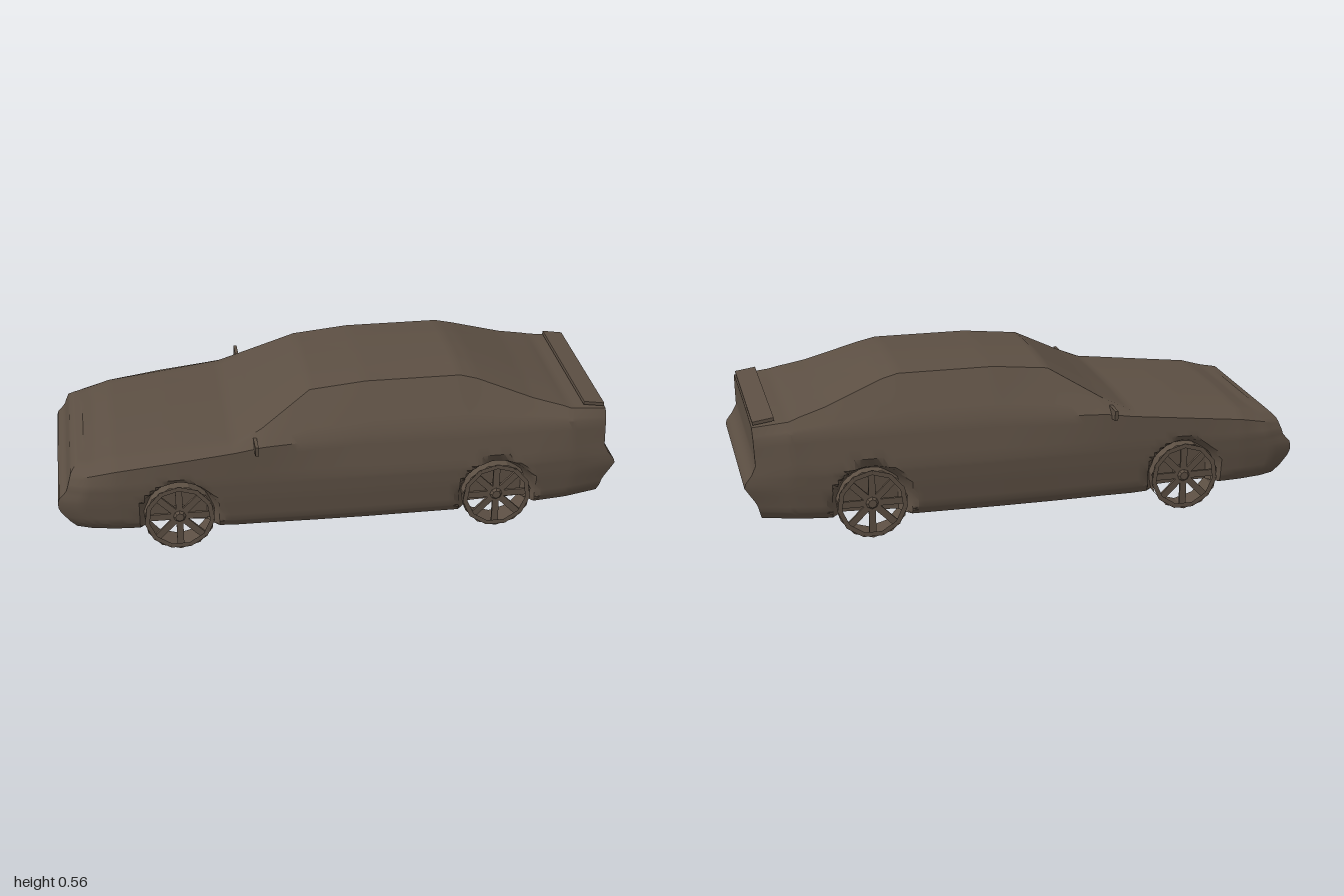
import * as THREE from 'three';
import { toCreasedNormals } from 'three/addons/utils/BufferGeometryUtils.js';

const bronze = new THREE.MeshStandardMaterial({ color: 0x5c4f43, side: THREE.DoubleSide });
bronze.name = 'bronze';

// x, floor, half width, belt height, belt half width, roof edge height, roof edge half width, crown
const STATIONS = [
  [-1.0, 0.09, 0.335, 0.29, 0.32, 0.32, 0.28, 0.33],
  [-0.92, 0.09, 0.36, 0.3, 0.345, 0.325, 0.3, 0.335],
  [-0.8, 0.088, 0.372, 0.32, 0.36, 0.345, 0.31, 0.355],
  [-0.6, 0.085, 0.38, 0.345, 0.37, 0.365, 0.32, 0.377],
  [-0.38, 0.075, 0.383, 0.37, 0.372, 0.385, 0.34, 0.393],
  [-0.28, 0.075, 0.384, 0.385, 0.37, 0.43, 0.315, 0.442],
  [-0.1, 0.073, 0.385, 0.39, 0.36, 0.53, 0.235, 0.54],
  [0.1, 0.073, 0.387, 0.4, 0.352, 0.55, 0.235, 0.557],
  [0.44, 0.075, 0.388, 0.4, 0.352, 0.55, 0.235, 0.565],
  [0.5, 0.078, 0.388, 0.4, 0.352, 0.535, 0.24, 0.55],
  [0.7, 0.085, 0.385, 0.4, 0.35, 0.465, 0.285, 0.475],
  [0.84, 0.09, 0.375, 0.395, 0.35, 0.43, 0.315, 0.432],
  [1.0, 0.095, 0.35, 0.38, 0.33, 0.418, 0.31, 0.425],
];
// bumper outlines as height, x
const NOSE = [[0.09, -0.94], [0.13, -0.97], [0.17, -1], [0.21, -1], [0.24, -0.97], [0.3, -0.95], [0.33, -0.925]];
const TAIL = [[0.09, 0.94], [0.15, 0.955], [0.22, 1], [0.28, 0.955], [0.43, 0.96]];
const WHEELS = [-0.58, 0.56];
const RADIUS = 0.125;

// linear lookup of a row in a table keyed by its first column
function sample(table, k) {
  let i = 0;
  while (i < table.length - 2 && k > table[i + 1][0]) i++;
  const a = table[i], b = table[i + 1];
  const t = THREE.MathUtils.clamp((k - a[0]) / (b[0] - a[0]), 0, 1);
  return a.map((v, j) => v + (b[j] - v) * t);
}

// half section from floor centre to roof centre, finely divided
function halfSection(x) {
  const [, yb, w, beltY, beltW, edgeY, edgeW, crown] = sample(STATIONS, x);
  const pts = [[0, yb], [w * 0.94, yb], [w * 0.985, yb + 0.03], [w, 0.2], [w, 0.26],
    [beltW, beltY], [edgeW, edgeY], [edgeW * 0.5, crown - (crown - edgeY) * 0.25], [0, crown]];
  const out = [];
  for (let i = 0; i < pts.length - 1; i++) {
    for (let s = 0; s < 4; s++) {
      const t = s / 4;
      out.push(pts[i].map((v, j) => v + (pts[i + 1][j] - v) * t));
    }
  }
  out.push(pts[pts.length - 1]);
  return out;
}

// shape the bumpers and press in the wheel arches
function shapePoint(x, y, z, side) {
  for (const wx of WHEELS) {
    const d = Math.hypot(x - wx, y - RADIUS);
    const limit = THREE.MathUtils.lerp(0.31, 0.4, THREE.MathUtils.smoothstep(d, 0.105, 0.165));
    z = Math.min(z, limit);
  }
  const front = THREE.MathUtils.clamp((-0.8 - x) / 0.2, 0, 1);
  const rear = THREE.MathUtils.clamp((x - 0.8) / 0.2, 0, 1);
  const hollow = 0.025 * (1 - THREE.MathUtils.smoothstep(z, 0.15, 0.32));
  const px = x + front * (sample(NOSE, y)[1] + 1 + hollow) + rear * (sample(TAIL, y)[1] - 1);
  return [px, y, z * side];
}

function bodyGeometry() {
  const steps = 100, pos = [], idx = [];
  let n = 0;
  for (let i = 0; i <= steps; i++) {
    const x = -1 + (2 * i) / steps;
    const half = halfSection(x);
    const ring = half.map(([z, y]) => shapePoint(x, y, z, 1));
    for (let j = half.length - 2; j > 0; j--) ring.push(shapePoint(x, half[j][1], half[j][0], -1));
    n = ring.length;
    ring.forEach((p) => pos.push(...p));
  }
  for (let i = 0; i < steps; i++) {
    for (let j = 0; j < n; j++) {
      const k = (j + 1) % n, a = i * n + j, b = i * n + k;
      idx.push(a, a + n, b, b, a + n, b + n);
    }
  }
  // flat caps at nose and tail, bridging left to right
  const e = steps * n;
  for (let j = 0; j < n / 2; j++) {
    const l0 = j, l1 = j + 1, r0 = (n - j) % n, r1 = n - j - 1;
    idx.push(l0, l1, r0, l1, r1, r0);
    idx.push(e + l0, e + r0, e + l1, e + l1, e + r0, e + r1);
  }
  const g = new THREE.BufferGeometry();
  g.setAttribute('position', new THREE.Float32BufferAttribute(pos, 3));
  g.setIndex(idx);
  return toCreasedNormals(g, 0.6);
}

function add(parent, name, geometry) {
  const mesh = new THREE.Mesh(geometry, bronze);
  mesh.name = name;
  parent.add(mesh);
  return mesh;
}

// open faceted wheel, outer face towards +z
function makeWheel() {
  const wheel = new THREE.Group();
  wheel.name = 'wheel';
  const band = new THREE.CylinderGeometry(RADIUS, RADIUS, 0.105, 11, 1, true).rotateX(Math.PI / 2);
  add(wheel, 'tyre', toCreasedNormals(band, 0.1));
  add(wheel, 'rim', new THREE.RingGeometry(0.108, RADIUS, 11, 1, Math.PI / 2)).position.z = 0.052;
  const hub = new THREE.CylinderGeometry(0.015, 0.04, 0.03, 8).rotateX(Math.PI / 2);
  add(wheel, 'hub', toCreasedNormals(hub, 0.1)).position.z = 0.035;
  for (let i = 0; i < 8; i++) {
    const spoke = new THREE.BoxGeometry(0.024, 0.1, 0.01).translate(0, 0.065, 0);
    const mesh = add(wheel, 'spoke', spoke);
    mesh.position.z = 0.036;
    mesh.rotation.z = (i / 8) * Math.PI * 2;
  }
  return wheel;
}

export function createModel() {
  const car = new THREE.Group();
  car.name = 'car';
  add(car, 'body', bodyGeometry());

  // raised lip on the rear deck
  const lip = add(car, 'spoiler', new THREE.BoxGeometry(0.075, 0.012, 0.6));
  lip.position.set(0.918, 0.434, 0);
  lip.rotation.z = -0.15;

  for (const side of [1, -1]) {
    // door mirror
    const shape = new THREE.Shape([[0.34, 0.408], [0.412, 0.408], [0.408, 0.372], [0.365, 0.368]]
      .map(([z, y]) => new THREE.Vector2(z * side, y)));
    const mirror = add(car, 'mirror', new THREE.ExtrudeGeometry(shape, { depth: 0.012, bevelEnabled: false }));
    mirror.rotation.y = -Math.PI / 2;
    mirror.position.x = -0.3;
    for (const x of WHEELS) {
      const wheel = makeWheel();
      wheel.position.set(x, RADIUS, side * 0.318);
      if (side < 0) wheel.rotation.y = Math.PI;
      car.add(wheel);
    }
  }
  return car;
}
